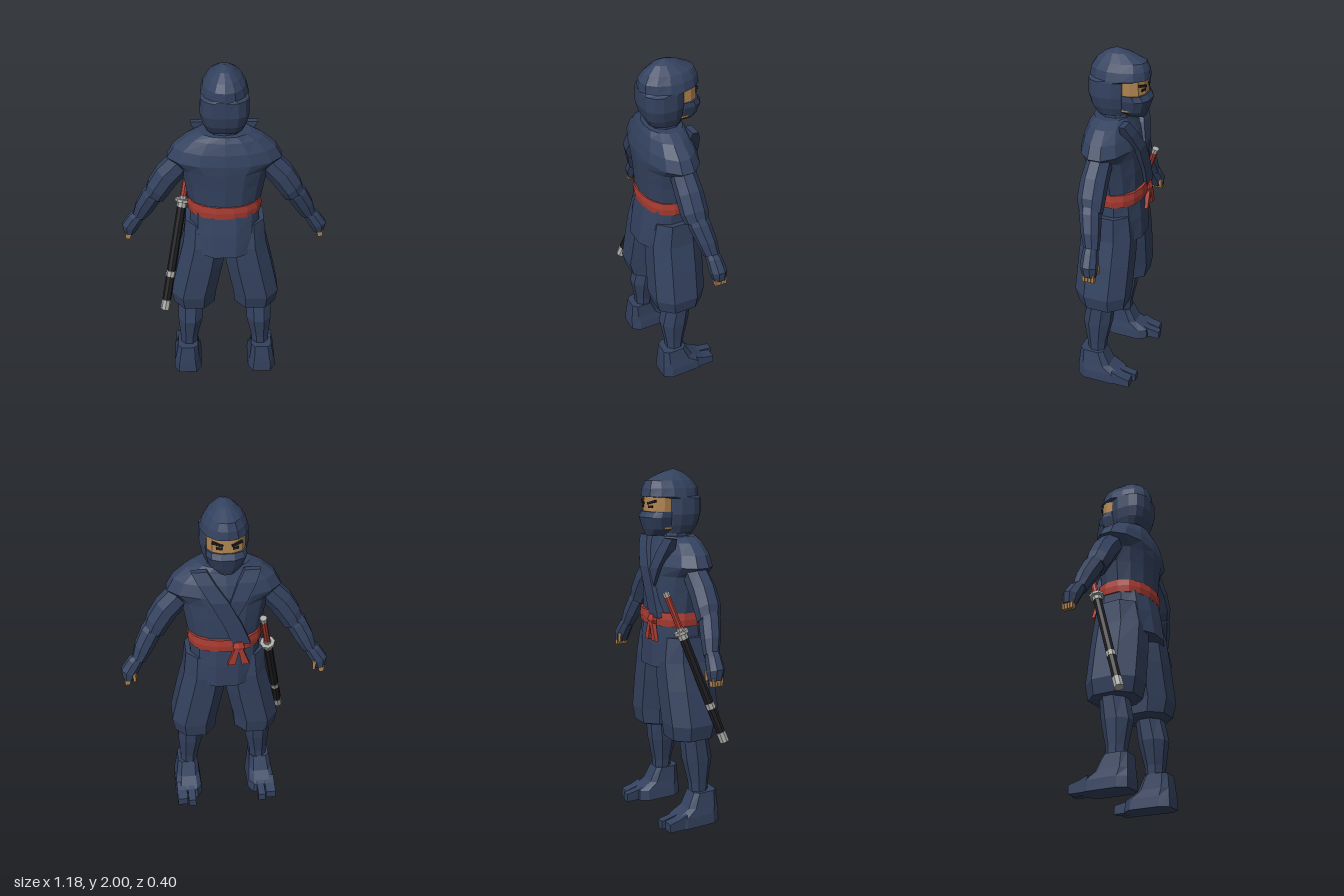
import * as THREE from 'three';

const mat = (name, color) => Object.assign(new THREE.MeshStandardMaterial({ color, flatShading: true }), { name });

export function createModel() {
  const root = new THREE.Group();
  root.name = 'warrior';
  const cloth = mat('navy cloth', 0x34425f), red = mat('red sash', 0xa93c32), skin = mat('skin', 0xb08450);
  const black = mat('black lacquer', 0x1d1d20), steel = mat('steel', 0xa9a9a6);

  const add = (name, geo, material) => {
    const m = new THREE.Mesh(geo, material);
    m.name = name;
    root.add(m);
    return m;
  };

  // Stacked rings, listed from bottom to top: [y, x0, x1, z0, z1, tilt about z, exponent]
  const loft = (name, rings, sides, material, exponent = 1) => {
    const pos = [], idx = [], top = Math.cos(Math.PI / sides);
    for (const [y, x0, x1, z0, z1, tilt = 0, e = exponent] of rings) {
      for (let k = 0; k < sides; k++) {
        const a = ((k + 0.5) / sides) * Math.PI * 2;
        const round = (v) => Math.sign(v) * Math.pow(Math.min(1, Math.abs(v) / top), e);
        const lx = (round(Math.cos(a)) * Math.abs(x1 - x0)) / 2;
        const lz = (round(Math.sin(a)) * Math.abs(z1 - z0)) / 2;
        pos.push((x0 + x1) / 2 + lx * Math.cos(tilt), y + lx * Math.sin(tilt), (z0 + z1) / 2 + lz);
      }
    }
    for (let r = 0; r < rings.length - 1; r++) {
      for (let k = 0; k < sides; k++) {
        const a = r * sides + k, b = r * sides + ((k + 1) % sides);
        idx.push(a, a + sides, b, b, a + sides, b + sides);
      }
    }
    const last = (rings.length - 1) * sides;
    for (let k = 1; k < sides - 1; k++) idx.push(0, k, k + 1, last, last + k + 1, last + k);
    const g = new THREE.BufferGeometry();
    g.setAttribute('position', new THREE.Float32BufferAttribute(pos, 3));
    g.setIndex(idx);
    g.computeVertexNormals();
    return add(name, g, material);
  };
  const wide = (y, w, z0, z1, e) => [y, -w, w, z0, z1, 0, e];
  const knot = (x, y, z, r, rz, tilt) => [y, x - r, x + r, z + rz, z - rz, tilt];

  // Hood: open below the brow, where the rings stop short at the front
  loft('hood', [
    wide(1.655, 0.1, 0.11, -0.07, 0.8), wide(1.7, 0.117, 0.135, -0.08, 0.75),
    wide(1.76, 0.13, 0.15, -0.085, 0.75), wide(1.845, 0.127, 0.15, -0.085, 0.75),
    wide(1.855, 0.125, 0.15, -0.178), wide(1.9, 0.112, 0.147, -0.172),
    wide(1.94, 0.088, 0.12, -0.155), wide(1.98, 0.045, 0.07, -0.07), wide(2.0, 0.006, 0.015, 0),
  ], 14, cloth);
  loft('face', [wide(1.68, 0.09, 0.02, -0.145), wide(1.78, 0.1, 0.02, -0.162), wide(1.86, 0.1, 0.02, -0.155)], 12, skin, 0.85);
  loft('faceMask', [
    wide(1.643, 0.045, -0.05, -0.155), wide(1.68, 0.088, 0, -0.168),
    wide(1.745, 0.107, 0, -0.187), wide(1.775, 0.105, 0, -0.168),
  ], 12, cloth, 0.85);
  for (const s of [1, -1]) {
    const brow = add('eyebrow', new THREE.BoxGeometry(0.06, 0.012, 0.016), black);
    brow.position.set(s * 0.05, 1.826, -0.152);
    brow.rotation.set(0, s * -0.3, s * 0.25);
    const eye = add('eye', new THREE.BoxGeometry(0.032, 0.013, 0.009), black);
    eye.position.set(s * 0.042, 1.802, -0.155);
    eye.rotation.y = s * -0.3;
  }
  loft('neck', [wide(1.58, 0.1, 0.11, -0.085), wide(1.68, 0.088, 0.095, -0.075)], 10, cloth);

  // Tunic with overhanging shoulders, skirt and crossing lapels
  loft('tunic', [
    wide(1.18, 0.195, 0.155, -0.145), wide(1.34, 0.222, 0.165, -0.145), wide(1.43, 0.245, 0.172, -0.14),
    wide(1.485, 0.312, 0.172, -0.135), wide(1.55, 0.275, 0.16, -0.115), wide(1.61, 0.205, 0.14, -0.09),
    wide(1.64, 0.14, 0.125, -0.08),
  ], 14, cloth);
  loft('tunicSkirt', [wide(0.915, 0.185, 0.198, -0.165), wide(1.05, 0.195, 0.18, -0.16), wide(1.17, 0.195, 0.158, -0.148)], 12, cloth, 0.85);
  loft('leftLapel', [
    [1.2, -0.13, -0.03, -0.12, -0.162], [1.33, -0.08, 0.02, -0.12, -0.162], [1.47, -0.01, 0.09, -0.1, -0.157],
    [1.57, 0.06, 0.15, -0.07, -0.13], [1.635, 0.1, 0.185, -0.07, -0.102],
  ], 4, cloth);
  loft('rightLapel', [
    [1.37, -0.06, 0.01, -0.12, -0.15], [1.47, -0.11, -0.02, -0.1, -0.15],
    [1.57, -0.16, -0.06, -0.07, -0.126], [1.635, -0.185, -0.1, -0.07, -0.102],
  ], 4, cloth);

  // Sash tied at the front
  loft('sash', [wide(1.152, 0.203, 0.163, -0.158), wide(1.19, 0.207, 0.167, -0.162), wide(1.228, 0.203, 0.163, -0.158)], 16, red, 0.9);
  loft('sashKnot', [[1.15, -0.085, -0.04, -0.14, -0.172], [1.185, -0.095, -0.03, -0.14, -0.182], [1.215, -0.085, -0.04, -0.14, -0.172]], 6, red);
  for (const s of [1, -1]) {
    const x = -0.062 + s * 0.04;
    loft('sashTail', [[1.07, x - 0.022, x + 0.022, -0.155, -0.175], [1.18, -0.075 + s * 0.008, -0.05 + s * 0.008, -0.15, -0.175]], 4, red);
  }

  // Limbs, drawn for +x and mirrored for -x
  for (const s of [1, -1]) {
    const side = s > 0 ? 'left' : 'right';
    const limb = (name, rings, sides, material, e) => loft(side + name,
      rings.map(([y, a, b, z0, z1, t = 0]) => (s > 0 ? [y, a, b, z0, z1, t] : [y, -b, -a, z0, z1, -t])), sides, material, e);

    limb('Sleeve', [
      knot(0.392, 1.225, 0.005, 0.058, 0.06, 0.6), knot(0.37, 1.275, 0.012, 0.066, 0.07, 0.65),
      knot(0.315, 1.36, 0.015, 0.07, 0.07, 0.7), knot(0.24, 1.44, 0.015, 0.068, 0.065, 0.85),
    ], 8, cloth);
    limb('Forearm', [
      knot(0.487, 1.06, -0.035, 0.038, 0.04, 0.5), knot(0.455, 1.13, -0.02, 0.052, 0.05, 0.5),
      knot(0.41, 1.215, 0, 0.056, 0.056, 0.55), knot(0.39, 1.25, 0.008, 0.05, 0.05, 0.6),
    ], 8, cloth);
    limb('Glove', [
      knot(0.553, 0.935, -0.05, 0.03, 0.036, 0.15), knot(0.545, 0.985, -0.045, 0.046, 0.045, 0.3),
      knot(0.507, 1.045, -0.038, 0.042, 0.04, 0.5), knot(0.492, 1.065, -0.035, 0.036, 0.036, 0.5),
    ], 8, cloth);
    for (let i = 0; i < 4; i++) {
      const z = -0.05 + (i - 1.5) * 0.017;
      limb('Finger', [knot(0.561, 0.906, z, 0.013, 0.007, 0), knot(0.556, 0.95, z, 0.019, 0.008, 0.1)], 4, skin);
    }
    limb('Thumb', [knot(0.515, 0.93, -0.082, 0.009, 0.009, 0), knot(0.518, 0.985, -0.078, 0.014, 0.013, 0.2)], 5, skin);

    limb('Trouser', [
      [0.5, 0.09, 0.265, 0.12, -0.085], [0.515, 0.06, 0.3, 0.155, -0.12], [0.6, 0.052, 0.315, 0.175, -0.133],
      [0.8, 0.01, 0.272, 0.168, -0.138], [0.95, -0.01, 0.236, 0.16, -0.138], [1.09, -0.01, 0.222, 0.13, -0.12],
    ], 8, cloth, 0.85);
    limb('Shin', [
      [0.16, 0.172, 0.268, 0.1, 0], [0.24, 0.165, 0.27, 0.107, -0.005],
      [0.38, 0.135, 0.28, 0.13, -0.035], [0.53, 0.125, 0.28, 0.1, -0.05],
    ], 8, cloth);
    limb('Boot', [
      [0, 0.147, 0.315, 0.152, -0.125], [0.06, 0.153, 0.312, 0.15, -0.12],
      [0.105, 0.16, 0.302, 0.147, -0.045], [0.19, 0.165, 0.288, 0.14, -0.003],
    ], 8, cloth, 0.5);

    // Split toes
    for (const [x, w, tip] of [[0.219, 0.044, -0.2], [0.278, 0.06, -0.182]]) {
      const profile = new THREE.Shape([[0.07, 0], [-tip, 0], [-tip, 0.048], [0.12, 0.064], [0.07, 0.085]].map((p) => new THREE.Vector2(...p)));
      const g = new THREE.ExtrudeGeometry(profile, { depth: w, bevelEnabled: false });
      g.translate(0, 0, -w / 2).rotateY(Math.PI / 2);
      add(side + 'Toe', g, cloth).position.x = s * x;
    }
  }

  // Sheathed sword, built along one line from scabbard tip (0) to guard (1) and beyond
  const tip = new THREE.Vector3(-0.355, 0.505, 0.14), guard = new THREE.Vector3(-0.238, 1.135, -0.075);
  const line = guard.clone().sub(tip), length = line.length();
  const turn = new THREE.Quaternion().setFromUnitVectors(new THREE.Vector3(0, 1, 0), line.clone().normalize());
  const rod = (name, from, to, r, material) => {
    const m = add(name, new THREE.CylinderGeometry(r, r, (to - from) * length, 8), material);
    m.position.copy(tip).addScaledVector(line, (from + to) / 2);
    m.quaternion.copy(turn);
  };
  rod('scabbard', 0.06, 0.97, 0.026, black);
  rod('scabbardTip', 0, 0.09, 0.028, steel);
  rod('scabbardBand', 0.31, 0.36, 0.028, steel);
  rod('scabbardMouth', 0.94, 0.98, 0.029, steel);
  rod('swordGuard', 0.985, 1.01, 0.043, steel);
  rod('hilt', 1.0, 1.32, 0.018, red);
  rod('hiltCollar', 1.01, 1.035, 0.022, steel);
  rod('pommel', 1.31, 1.35, 0.02, steel);
  return root;
}
